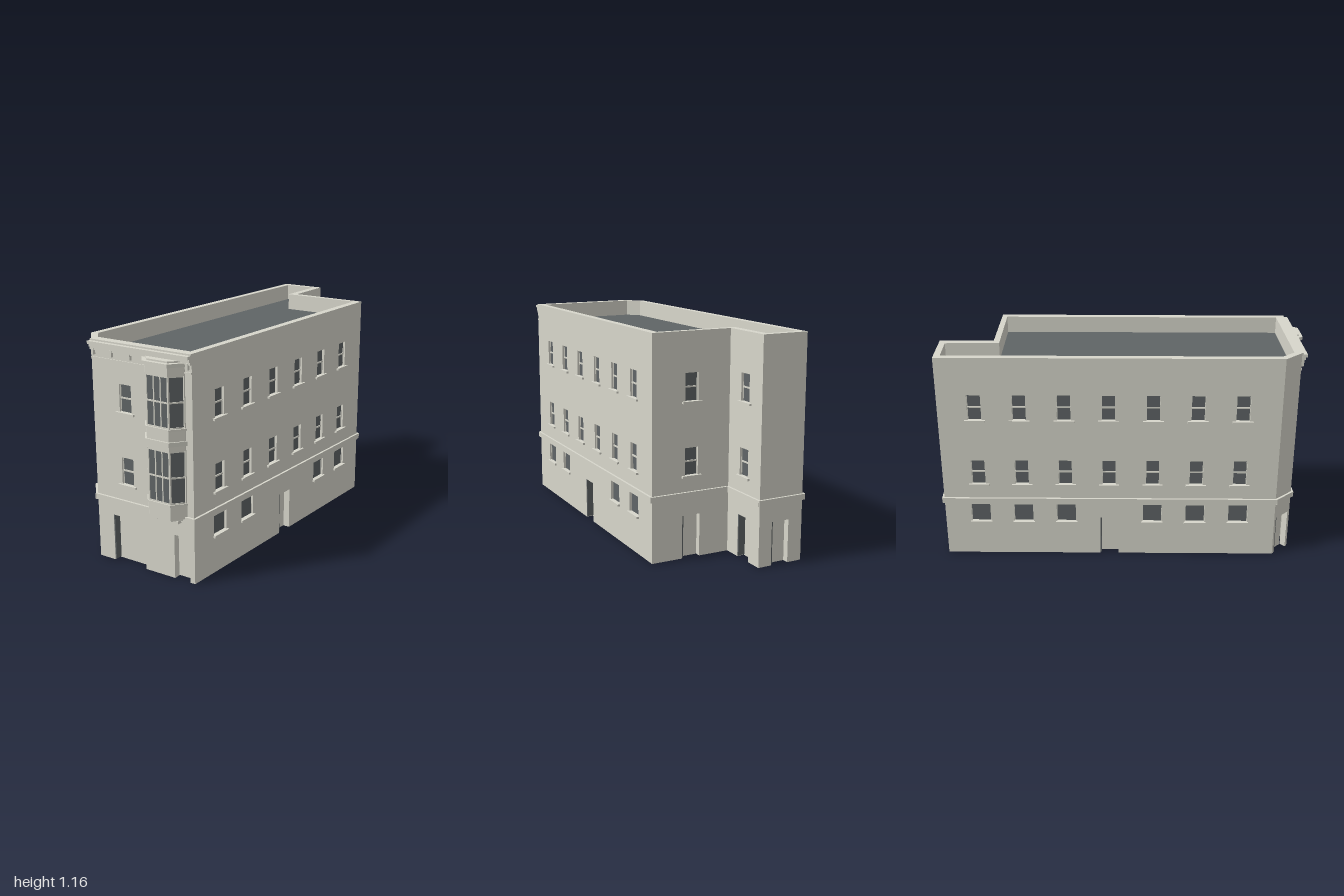
import * as THREE from 'three';

const stone = new THREE.MeshStandardMaterial({ color: 0xd7d6cb, side: THREE.DoubleSide });
stone.name = 'pale stone';
const slate = new THREE.MeshStandardMaterial({ color: 0x5f6466, side: THREE.DoubleSide });
slate.name = 'dark slate';

const WALL_H = 1.07, TOP = 1.163;

function add(parent, name, geometry, material) {
  const mesh = new THREE.Mesh(geometry, material);
  mesh.name = name;
  parent.add(mesh);
  return mesh;
}

// Box given by its limits on each axis
function box(parent, name, mat, x0, x1, y0, y1, z0, z1) {
  const m = add(parent, name, new THREE.BoxGeometry(x1 - x0, y1 - y0, z1 - z0), mat);
  m.position.set((x0 + x1) / 2, (y0 + y1) / 2, (z0 + z1) / 2);
  return m;
}

// Plan outline of [x, z] points as a shape or path
const planPoints = (pts) => pts.map(([x, z]) => new THREE.Vector2(x, -z));

function slab(parent, name, mat, pts, y0, y1, hole) {
  const shape = new THREE.Shape(planPoints(pts));
  if (hole) shape.holes.push(new THREE.Path(planPoints(hole)));
  const g = new THREE.ExtrudeGeometry(shape, { depth: y1 - y0, bevelEnabled: false });
  g.rotateX(-Math.PI / 2);
  add(parent, name, g, mat).position.y = y0;
}

// Group standing on the line from p to q, local x along it and z outwards
function wallGroup(parent, name, p, q) {
  const wall = new THREE.Group();
  wall.name = name;
  wall.position.set(p[0], 0, p[1]);
  wall.rotation.y = Math.atan2(p[1] - q[1], q[0] - p[0]);
  parent.add(wall);
  return wall;
}

// Sides and head of an opening cut into the wall
function reveal(wall, a, b, y0, y1, depth) {
  const t = 0.001;
  box(wall, 'reveal', stone, a - t, a, y0, y1, -depth, -0.0005);
  box(wall, 'reveal', stone, b, b + t, y0, y1, -depth, -0.0005);
  box(wall, 'reveal', stone, a, b, y1, y1 + t, -depth, -0.0005);
}

// Glass, sash bars and sill of one window, in wall coordinates
function windowUnit(wall, s, w, y0, y1, sash) {
  const a = s - w / 2, b = s + w / 2, mid = (y0 + y1) / 2, f = 0.003;
  const lip = sash ? 0.018 : 0.006;
  reveal(wall, a, b, y0, y1, 0.018);
  box(wall, 'windowGlass', slate, a, b, y0, y1, -0.018, -0.014);
  box(wall, 'windowFrame', stone, a, a + f, y0, y1, -0.014, -0.011);
  box(wall, 'windowFrame', stone, b - f, b, y0, y1, -0.014, -0.011);
  if (sash) box(wall, 'sashBar', stone, a, b, mid - 0.004, mid + 0.004, -0.014, -0.009);
  box(wall, 'windowSill', stone, a - lip, b + lip, y0 - 0.011, y0, -0.018, 0.012);
}

// Outer wall from p to q (left to right seen from outside). Openings are placed
// by the coordinate on the given axis (0 = x, 1 = z).
function buildWall(parent, name, p, q, axis, { upper = [], ground = [], doors = [] }) {
  const len = Math.hypot(q[0] - p[0], q[1] - p[1]);
  const along = (c) => ((c - p[axis]) / (q[axis] - p[axis])) * len;
  const wall = wallGroup(parent, name, p, q);

  const shape = new THREE.Shape();
  shape.moveTo(0, 0);
  const sorted = doors.map((d) => ({ ...d, s: along(d.at) })).sort((a, b) => a.s - b.s);
  for (const { s, w, h, leaf } of sorted) {
    const a = s - w / 2, b = s + w / 2;
    shape.lineTo(a, 0);
    shape.lineTo(a, h);
    shape.lineTo(b, h);
    shape.lineTo(b, 0);
    reveal(wall, a, b, 0, h, 0.036);
    // dark leaf swung inwards at the left of the opening
    if (leaf) box(wall, 'openDoorLeaf', slate, a, a + 0.007, 0.005, h, -w, -0.002);
  }
  shape.lineTo(len, 0);
  shape.lineTo(len, WALL_H);
  shape.lineTo(0, WALL_H);
  shape.closePath();

  const units = [];
  for (const c of upper) {
    units.push([along(c), 0.074, 0.435, 0.577, true], [along(c), 0.074, 0.814, 0.956, true]);
  }
  for (const c of ground) units.push([along(c), 0.107, 0.203, 0.307, false]);
  for (const [s, w, y0, y1, sash] of units) {
    const a = s - w / 2, b = s + w / 2;
    shape.holes.push(new THREE.Path([[a, y0], [a, y1], [b, y1], [b, y0]].map((v) => new THREE.Vector2(...v))));
    windowUnit(wall, s, w, y0, y1, sash);
  }
  add(wall, 'wallFace', new THREE.ShapeGeometry(shape), stone);

  // string course above the ground floor
  box(wall, 'stringCourse', stone, -0.008, len + 0.008, 0.32, 0.35, 0, 0.012);
}

// Canted bay with two storeys of glazing
function buildBay(parent) {
  const bay = new THREE.Group();
  bay.name = 'bayWindow';
  bay.position.x = 0.157;
  parent.add(bay);
  const plan = (g) => {
    const b = 0.118 + g, f = 0.065 + g * 0.6, z = 0.985 + g;
    return [[-b, 0.912], [-b, 0.924], [-f, z], [f, z], [b, 0.924], [b, 0.912]];
  };
  const layer = (name, y0, y1, g, mat = stone) => slab(bay, name, mat, plan(g), y0, y1);

  layer('bayFoot', 0.328, 0.34, -0.012);
  layer('bayBase', 0.34, 0.41, 0);
  layer('baySill', 0.41, 0.42, 0.005);
  layer('bayHead', 0.688, 0.715, 0);
  layer('bayMoulding', 0.715, 0.737, 0.008);
  layer('bayApron', 0.737, 0.79, 0);
  layer('baySill', 0.79, 0.8, 0.007);
  layer('bayFrieze', 1.055, 1.1, 0);
  layer('bayCornice', 1.1, 1.118, 0.013);
  layer('bayRoof', 1.118, 1.126, -0.008);
  for (const s of [-1, 1]) {
    box(bay, 'bayCorbel', stone, s * 0.065 - 0.022, s * 0.065 + 0.022, 0.315, 0.33, 0.915, 0.955);
  }

  for (const [y0, y1] of [[0.42, 0.688], [0.8, 1.055]]) {
    const mid = (y0 + y1) / 2;
    layer('bayGlass', y0, y1, -0.005, slate);
    layer('bayTransom', mid - 0.004, mid + 0.004, -0.001);
    layer('bayBottomRail', y0, y0 + 0.006, -0.001);
    layer('bayTopRail', y1 - 0.006, y1, -0.001);
    for (const s of [-1, 1]) {
      box(bay, 'bayCornerPost', stone, s * 0.063 - 0.004, s * 0.063 + 0.004, y0, y1, 0.972, 0.984);
      box(bay, 'bayMullion', stone, s * 0.02 - 0.003, s * 0.02 + 0.003, y0, y1, 0.975, 0.983);
      box(bay, 'baySidePost', stone, s * 0.115 - 0.003, s * 0.115 + 0.003, y0, y1, 0.915, 0.928);
    }
  }
}

export function createModel() {
  const model = new THREE.Group();
  model.name = 'cornerBuilding';

  // plan corners, anticlockwise from the front left
  const A = [-0.295, 0.92], B = [0.315, 0.92], C = [0.376, -0.683], D = [-0.063, -0.694];
  const E = [-0.06, -0.983], F = [-0.315, -0.985], G = [-0.38, 0.823];
  const outer = [A, B, C, D, E, F, G];
  const inner = [[-0.285, 0.88], [0.28, 0.88], [0.335, -0.655], [-0.105, -0.662],
    [-0.1, -0.95], [-0.28, -0.95], [-0.343, 0.81]];

  const door = (at, w = 0.1, h = 0.226, leaf = true) => ({ at, w, h, leaf });
  const leftWindows = Array.from({ length: 7 }, (_, i) => -0.79 + i * 0.235);
  buildWall(model, 'frontWall', A, B, 0, {
    upper: [-0.09],
    doors: [door(-0.093, 0.205, 0.252), door(0.239, 0.095, 0.235, false)],
  });
  buildWall(model, 'rightWall', B, C, 1, {
    upper: [0.71, 0.475, 0.24, 0, -0.235, -0.47],
    ground: [0.71, 0.475, -0.235, -0.47],
    doors: [door(0.12)],
  });
  buildWall(model, 'backWall', C, D, 0, { upper: [0.155], doors: [door(0.155)] });
  buildWall(model, 'wingSideWall', D, E, 1, { upper: [-0.835], doors: [door(-0.84)] });
  buildWall(model, 'wingBackWall', E, F, 0, { doors: [door(-0.185)] });
  buildWall(model, 'leftWall', F, G, 1, {
    upper: leftWindows,
    ground: leftWindows.filter((_, i) => i !== 3),
    doors: [door(leftWindows[3])],
  });
  buildWall(model, 'cornerWall', G, A, 0, { doors: [door(-0.338, 0.1)] });

  // continuous inner lining, closing the back of every opening
  inner.forEach((p, i) => {
    const q = inner[(i + 1) % inner.length];
    const len = Math.hypot(q[0] - p[0], q[1] - p[1]);
    const lining = wallGroup(model, 'innerLining', p, q);
    add(lining, 'liningFace', new THREE.PlaneGeometry(len, WALL_H), stone).position.set(len / 2, WALL_H / 2, 0);
  });

  // parapet and flat roof
  slab(model, 'parapet', stone, outer, WALL_H, TOP, inner);
  const roof = new THREE.ShapeGeometry(new THREE.Shape(planPoints(inner)));
  roof.rotateX(-Math.PI / 2);
  add(model, 'flatRoof', roof, slate).position.y = WALL_H + 0.002;

  // front cornice with brackets
  for (const [y0, y1, out] of [[1.066, 1.074, 0.005], [1.11, 1.124, 0.012],
    [1.124, 1.14, 0.02], [1.14, 1.155, 0.03], [1.155, TOP, 0.008]]) {
    box(model, 'frontCornice', stone, A[0], B[0], y0, y1, 0.9, 0.92 + out);
  }
  for (let i = 0; i < 6; i++) {
    const x = -0.277 + i * 0.1145;
    box(model, 'corniceBracket', stone, x - 0.007, x + 0.007, 1.086, 1.118, 0.915, 0.936);
  }

  buildBay(model);
  return model;
}
